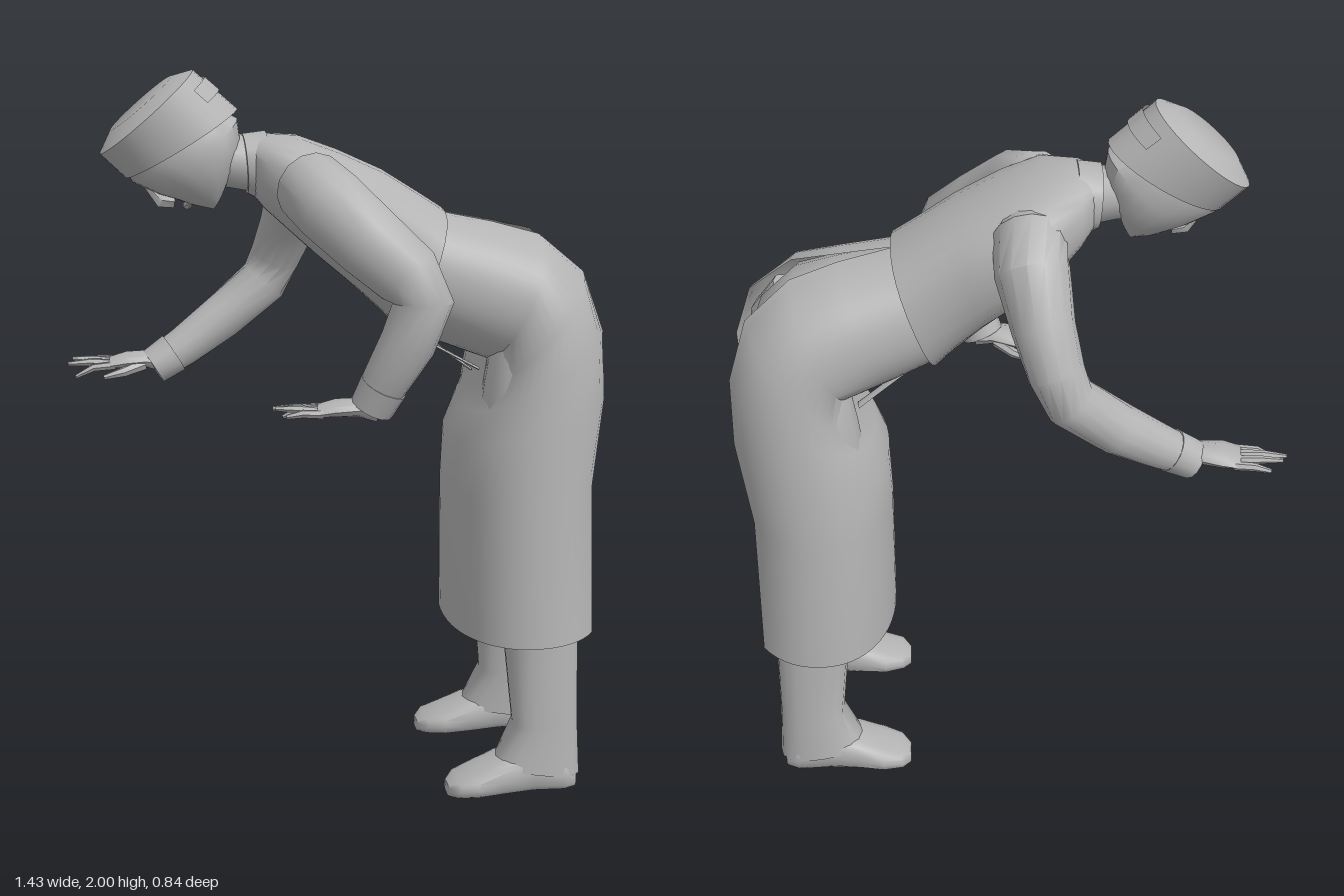
import * as THREE from 'three';
import { toCreasedNormals } from 'three/addons/utils/BufferGeometryUtils.js';

const TAU = Math.PI * 2;
const grey = new THREE.MeshStandardMaterial({ color: 0xb4b4b4 });
grey.name = 'plainGrey';
const greyCloth = grey.clone();
greyCloth.name = 'plainGreyCloth';
greyCloth.side = THREE.DoubleSide;
const V = (x, y, z) => new THREE.Vector3(x, y, z);

// One rounded cross-section: centre c, half-axes u and v, squareness e, angles t0..t1
function section(c, u, v, e = 2, n = 20, t0 = 0, t1 = TAU) {
  const pts = [];
  const open = t1 - t0 < TAU - 1e-6;
  const f = k => Math.sign(k) * Math.pow(Math.abs(k), 2 / e);
  for (let i = 0; i < n; i++) {
    const t = t0 + (t1 - t0) * i / (open ? n - 1 : n);
    pts.push(c.clone().addScaledVector(u, f(Math.cos(t))).addScaledVector(v, f(Math.sin(t))));
  }
  return pts;
}

// Cross-section given by back/top point, front/bottom point, half width and z offset
function span([bx, by, fx, fy, w, z = 0], e, n, t0, t1) {
  return section(V((bx + fx) / 2, (by + fy) / 2, z), V((bx - fx) / 2, (by - fy) / 2, 0), V(0, 0, w), e, n, t0, t1);
}

// Skin a list of cross-sections; closed skins get end caps
function skin(name, rings, { open = false, crease = 0.75 } = {}) {
  const n = rings[0].length, pos = [], idx = [];
  rings.forEach(r => r.forEach(p => pos.push(p.x, p.y, p.z)));
  for (let i = 0; i < rings.length - 1; i++)
    for (let j = 0; j < (open ? n - 1 : n); j++) {
      const a = i * n + j, b = i * n + (j + 1) % n;
      idx.push(a, b, b + n, a, b + n, a + n);
    }
  if (!open) [0, rings.length - 1].forEach((k, end) => {
    const c = rings[k].reduce((s, p) => s.add(p), V(0, 0, 0)).divideScalar(n);
    const m = pos.length / 3;
    pos.push(c.x, c.y, c.z);
    for (let j = 0; j < n; j++) {
      const a = k * n + j, b = k * n + (j + 1) % n;
      if (end) idx.push(m, a, b); else idx.push(m, b, a);
    }
  });
  let g = new THREE.BufferGeometry();
  g.setAttribute('position', new THREE.Float32BufferAttribute(pos, 3));
  g.setIndex(idx);
  g = toCreasedNormals(g, crease);
  const mesh = new THREE.Mesh(g, open ? greyCloth : grey);
  mesh.name = name;
  return mesh;
}

const body = (name, rows, e = 2.3, n = 20) => skin(name, rows.map(r => span(r, e, n)));

// Limb along a path of [x, y, z, radius, flatter radius]
function limb(name, rows, n = 10, hint = V(0, 0, 1)) {
  const p = rows.map(r => V(r[0], r[1], r[2]));
  return skin(name, rows.map((r, i) => {
    const t = p[Math.min(i + 1, p.length - 1)].clone().sub(p[Math.max(i - 1, 0)]).normalize();
    const u = hint.clone().addScaledVector(t, -hint.dot(t)).normalize();
    return section(p[i], u.clone().multiplyScalar(r[3]), t.clone().cross(u).multiplyScalar(r[4] ?? r[3]), 2, n);
  }));
}

// Flat hand reaching along -x; side is the z direction of the thumb
function hand(name, side) {
  const g = new THREE.Group();
  g.name = name;
  g.add(limb('palm', [[0.03, 0, 0, 0.036, 0.028], [-0.02, 0.01, 0, 0.04, 0.024],
    [-0.08, 0.008, 0, 0.054, 0.021], [-0.125, 0, 0, 0.05, 0.015]]));
  [0.1, 0.125, 0.115, 0.085].forEach((len, i) => {
    const z = side * (0.037 - i * 0.025), spread = z * 0.2;
    const drop = [-0.03, 0, 0.008, -0.006][i];
    g.add(limb('finger', [[-0.11, 0, z, 0.012], [-0.12 - len * 0.5, drop * 0.3 + 0.004, z + spread * 0.6, 0.011],
      [-0.12 - len, drop, z + spread, 0.006]], 6));
  });
  g.add(limb('thumb', [[-0.03, 0, side * 0.025, 0.017], [-0.085, -0.015, side * 0.056, 0.014],
    [-0.14, -0.028, side * 0.064, 0.007]], 6));
  return g;
}

export function createModel() {
  const model = new THREE.Group();
  model.name = 'bowingWaiter';
  const add = (...m) => model.add(...m);

  // Jacket, leaning forward from neck to waist
  add(body('jacket', [
    [-0.235, 1.825, -0.235, 1.69, 0.075], [-0.195, 1.835, -0.195, 1.64, 0.13], [-0.1, 1.827, -0.13, 1.58, 0.205],
    [0, 1.79, -0.06, 1.515, 0.212], [0.12, 1.735, 0.05, 1.42, 0.188], [0.22, 1.672, 0.12, 1.355, 0.178],
    [0.285, 1.63, 0.17, 1.305, 0.182]], 2.4, 24));
  add(body('collar', [[-0.25, 1.835, -0.24, 1.68, 0.085], [-0.19, 1.842, -0.18, 1.65, 0.098]]));
  add(limb('neck', [[-0.37, 1.77, 0, 0.075], [-0.28, 1.765, 0, 0.07], [-0.2, 1.755, 0, 0.075]], 14));

  // Head, bowed towards the floor
  add(body('head', [
    [-0.4, 1.93, -0.575, 1.775, 0.1], [-0.32, 1.905, -0.535, 1.714, 0.108], [-0.262, 1.875, -0.47, 1.682, 0.107],
    [-0.255, 1.825, -0.425, 1.668, 0.097], [-0.262, 1.77, -0.38, 1.652, 0.076], [-0.295, 1.705, -0.33, 1.64, 0.038]], 2.1));
  add(limb('nose', [[-0.5, 1.705, 0, 0.01], [-0.463, 1.668, 0, 0.016, 0.024], [-0.43, 1.664, 0, 0.02, 0.02]], 6));
  add(limb('lips', [[-0.39, 1.662, -0.026, 0.005], [-0.396, 1.652, 0, 0.013], [-0.39, 1.662, 0.026, 0.005]], 6, V(0, 1, 0)));

  // Round hat with a strap across the back
  const crown = [-0.375, 2, -0.62, 1.79, 0.132], rim = [-0.262, 1.9, -0.555, 1.727, 0.118];
  add(body('hat', [[-0.43, 1.985, -0.59, 1.85, 0.085], crown, rim], 2, 32));
  const mix = (k, o) => crown.map((v, i) => v + (rim[i] - v) * k + [o, o, -o, -o, o][i]);
  add(skin('hatStrap', [0.22, 0.55].map(k => span(mix(k, 0.005), 2, 12, -0.75, 0.75)), { open: true }));

  // Hips and trousers
  add(body('hips', [
    [0.27, 1.6, 0.19, 1.34, 0.16], [0.42, 1.572, 0.32, 1.29, 0.18], [0.54, 1.538, 0.42, 1.23, 0.2],
    [0.635, 1.45, 0.43, 1.17, 0.195], [0.665, 1.32, 0.44, 1.1, 0.16], [0.62, 1.12, 0.46, 1.05, 0.07]], 2.2));
  for (const s of [1, -1]) {
    add(body('trouserLeg', [
      [0.6, 1.47, 0.42, 1.32, 0.08, s * 0.1], [0.665, 1.38, 0.4, 1.25, 0.106, s * 0.112],
      [0.69, 1.24, 0.385, 1.17, 0.114, s * 0.12], [0.682, 1.02, 0.365, 1.02, 0.112, s * 0.127],
      [0.652, 0.75, 0.385, 0.75, 0.098, s * 0.154], [0.65, 0.48, 0.44, 0.48, 0.086, s * 0.178],
      [0.655, 0.2, 0.47, 0.2, 0.078, s * 0.195], [0.665, 0.045, 0.415, 0.085, 0.077, s * 0.204]], 2.4, 16));
    // Shoe, toe first
    add(body('shoe', [
      [0.28, 0.034, 0.28, 0, 0.032, s * 0.212], [0.305, 0.054, 0.305, 0, 0.062, s * 0.212],
      [0.36, 0.07, 0.36, 0, 0.078, s * 0.208], [0.43, 0.104, 0.43, 0, 0.076, s * 0.205],
      [0.52, 0.13, 0.52, 0, 0.069, s * 0.205], [0.61, 0.1, 0.61, 0, 0.067, s * 0.208],
      [0.647, 0.07, 0.647, 0, 0.042, s * 0.208]], 3, 16));
  }

  // Long apron wrapped round the hips, split open at the back (last value: half gap)
  const apron = [
    [0.275, 1.62, 0.175, 1.313, 0.177, 0], [0.42, 1.592, 0.28, 1.265, 0.203, 0.02], [0.545, 1.562, 0.4, 1.22, 0.236, 0.05],
    [0.668, 1.465, 0.385, 1.15, 0.257, 0.08], [0.728, 1.31, 0.345, 1.08, 0.268, 0.115], [0.742, 1.13, 0.31, 1, 0.28, 0.15],
    [0.72, 0.89, 0.305, 0.85, 0.293, 0.19], [0.745, 0.475, 0.31, 0.455, 0.315, 0.235]];
  const e = 2.15;
  add(skin('apron', apron.map(([bx, by, fx, fy, w, gap]) => {
    const g = Math.asin(Math.pow(gap / w, e / 2)) + 0.001;
    return span([bx, by, fx, fy, w], e, 41, g, TAU - g);
  }), { open: true }));

  // Apron strings hanging under the waist
  for (const s of [1, -1])
    add(limb('apronString', [[0.16, 1.32, s * 0.02, 0.014, 0.004], [0.27, 1.255, s * 0.035, 0.016, 0.004],
      [0.385, 1.18 + s * 0.012, s * 0.05, 0.018, 0.004]], 6));

  // Sleeves with cuffs, rooted inside the shoulders
  add(limb('leftSleeve', [
    [-0.095, 1.715, 0.06, 0.06, 0.06], [-0.09, 1.71, 0.14, 0.095, 0.095], [-0.05, 1.672, 0.222, 0.092, 0.1],
    [0.04, 1.588, 0.288, 0.08, 0.095], [0.125, 1.512, 0.338, 0.073, 0.088], [0.163, 1.445, 0.35, 0.07, 0.078],
    [0.125, 1.34, 0.346, 0.066, 0.072], [0.075, 1.24, 0.322, 0.056, 0.062], [0.045, 1.17, 0.302, 0.05, 0.055]], 14));
  add(limb('rightSleeve', [
    [-0.06, 1.715, -0.06, 0.06, 0.06], [-0.06, 1.71, -0.14, 0.095, 0.092], [-0.065, 1.665, -0.222, 0.095, 0.09],
    [-0.09, 1.55, -0.295, 0.08, 0.078], [-0.12, 1.45, -0.345, 0.072, 0.072], [-0.155, 1.375, -0.355, 0.07, 0.07],
    [-0.28, 1.275, -0.338, 0.064, 0.068], [-0.39, 1.2, -0.315, 0.056, 0.058], [-0.475, 1.15, -0.3, 0.052, 0.048]],
    14, V(1, 0, 0.6)));
  add(limb('leftCuff', [[0.07, 1.225, 0.317, 0.058, 0.063], [0.042, 1.163, 0.3, 0.054, 0.058]], 14));
  add(limb('rightCuff', [[-0.42, 1.183, -0.308, 0.058, 0.058], [-0.48, 1.147, -0.3, 0.055, 0.052]], 14));

  // Hands
  const left = hand('leftHand', -1), right = hand('rightHand', 1);
  left.position.set(0.03, 1.155, 0.3);
  left.rotation.y = -0.2;
  right.position.set(-0.475, 1.16, -0.3);
  right.rotation.y = -0.13;
  add(left, right);
  return model;
}
